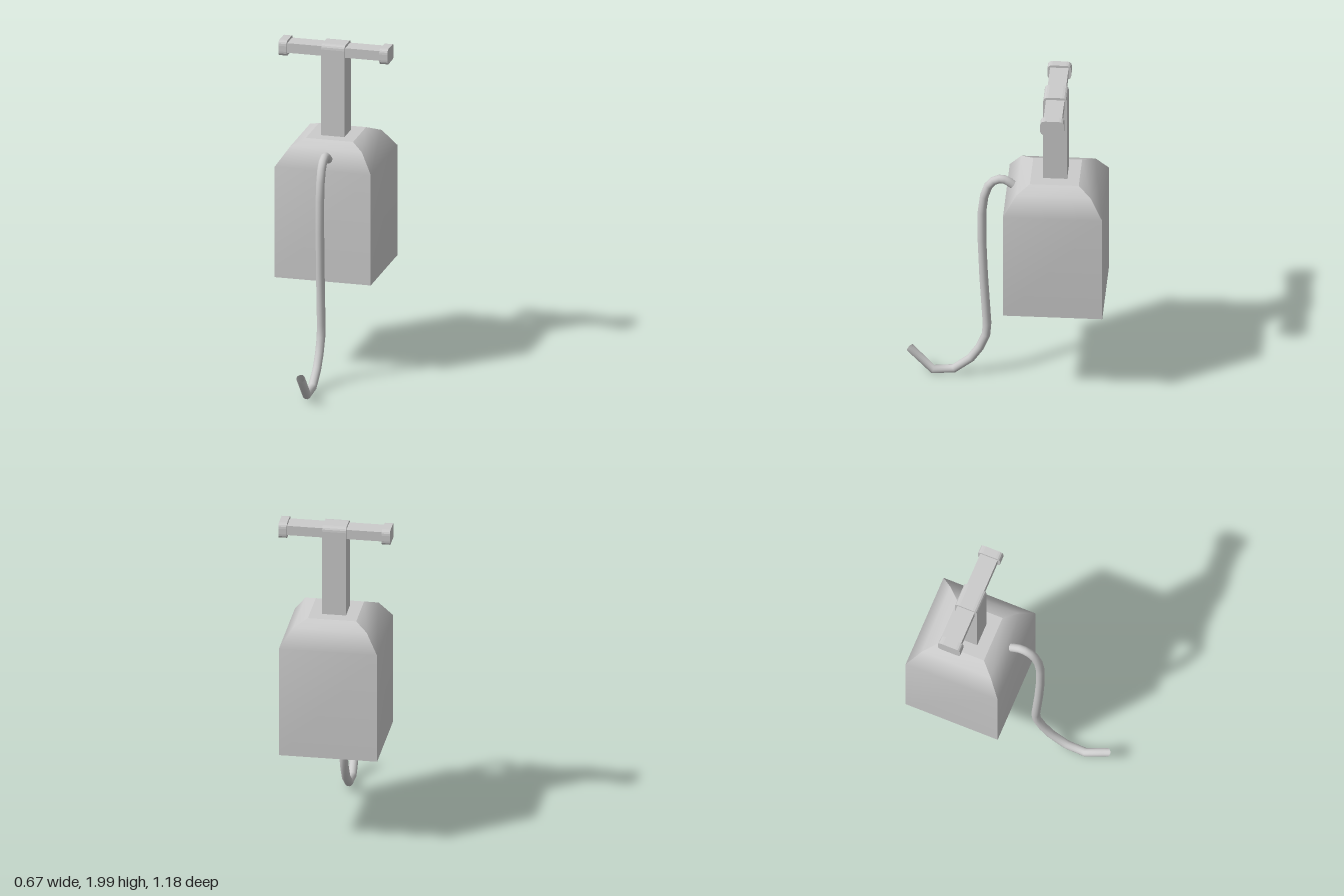
import * as THREE from 'three';

const grey = new THREE.MeshStandardMaterial({ color: 0xcccccc });
const greyOpen = new THREE.MeshStandardMaterial({ color: 0xcccccc, side: THREE.DoubleSide });
const CZ = -0.295; // body axis

function add(parent, name, geometry, material = grey) {
  const mesh = new THREE.Mesh(geometry, material);
  mesh.name = name;
  parent.add(mesh);
  return mesh;
}

// One wall of the body: a strip rising along the [half width, y] profile
function wallGeometry(profile) {
  const pos = [], index = [];
  profile.forEach(([r, y], i) => {
    pos.push(-r, y, r, r, y, r);
    if (i) {
      const a = 2 * i - 2;
      index.push(a, a + 1, a + 3, a, a + 3, a + 2);
    }
  });
  const g = new THREE.BufferGeometry();
  g.setAttribute('position', new THREE.Float32BufferAttribute(pos, 3));
  g.setIndex(index);
  g.computeVertexNormals();
  return g;
}

// Side outline (across z, up y) with rounded top and optionally rounded bottom, extruded along x
function roundedBar(width, y0, y1, length, r, roundBottom) {
  const h = width / 2, b = roundBottom ? r : 0;
  const s = new THREE.Shape();
  s.moveTo(-h + b, y0);
  s.lineTo(h - b, y0);
  if (b) s.quadraticCurveTo(h, y0, h, y0 + b);
  s.lineTo(h, y1 - r);
  s.quadraticCurveTo(h, y1, h - r, y1);
  s.lineTo(-h + r, y1);
  s.quadraticCurveTo(-h, y1, -h, y1 - r);
  s.lineTo(-h, y0 + b);
  if (b) s.quadraticCurveTo(-h, y0, -h + b, y0);
  const g = new THREE.ExtrudeGeometry(s, { depth: length, bevelEnabled: false, curveSegments: 4 });
  return g.translate(0, 0, -length / 2).rotateY(Math.PI / 2);
}

// Polyline whose samples fall exactly on its corners
class Polyline extends THREE.Curve {
  constructor(points) {
    super();
    this.points = points;
  }
  getPoint(t, target = new THREE.Vector3()) {
    const n = this.points.length - 1;
    const i = Math.min(Math.floor(t * n + 1e-6), n - 1);
    return target.lerpVectors(this.points[i], this.points[i + 1], t * n - i);
  }
  getPointAt(t, target) {
    return this.getPoint(t, target);
  }
  getTangentAt(t, target = new THREE.Vector3()) {
    const n = this.points.length - 1, i = Math.round(t * n), p = this.points;
    const here = p[i];
    const inward = here.clone().sub(p[Math.max(i - 1, 0)]).normalize();
    const outward = p[Math.min(i + 1, n)].clone().sub(here).normalize();
    return target.copy(inward).add(outward).normalize();
  }
}

export function createModel() {
  const model = new THREE.Group();
  model.name = 'handPump';

  // Hollow body, open underneath, with sloping shoulders
  const body = new THREE.Group();
  body.name = 'body';
  body.position.z = CZ;
  model.add(body);
  const wall = wallGeometry([[0.295, 0.6], [0.295, 1.29], [0.22, 1.4], [0.145, 1.435]]);
  for (let i = 0; i < 4; i++) {
    add(body, 'bodyWall', wall, greyOpen).rotation.y = i * Math.PI / 2;
  }
  const top = new THREE.PlaneGeometry(0.29, 0.29).rotateX(-Math.PI / 2).translate(0, 1.435, 0);
  add(body, 'bodyTop', top, greyOpen);

  // T-handle: stem, crossbar and end caps
  const handle = new THREE.Group();
  handle.name = 'handle';
  handle.position.z = CZ;
  model.add(handle);
  add(handle, 'stem', roundedBar(0.143, 1.43, 2, 0.143, 0.03, false));
  add(handle, 'crossbar', new THREE.BoxGeometry(0.58, 0.06, 0.11)).position.y = 1.955;
  for (const side of [-1, 1]) {
    add(handle, 'endCap', roundedBar(0.143, 1.905, 2, 0.05, 0.03, true)).position.x = side * 0.31;
  }

  // Hose out of the front shoulder, hanging down to an upturned nozzle; points are [z, y]
  const path = [
    [-0.06, 1.335], [-0.02, 1.366], [0.01, 1.383], [0.04, 1.385], [0.075, 1.37], [0.105, 1.335],
    [0.13, 1.26], [0.143, 1.15], [0.143, 0.95], [0.133, 0.7], [0.113, 0.37], [0.119, 0.29],
    [0.156, 0.2], [0.21, 0.12], [0.31, 0.042], [0.435, 0.032], [0.57, 0.177],
  ].map(([z, y]) => new THREE.Vector3(0.022, y, z));
  add(model, 'hose', new THREE.TubeGeometry(new Polyline(path), path.length - 1, 0.026, 14), greyOpen);

  return model;
}
